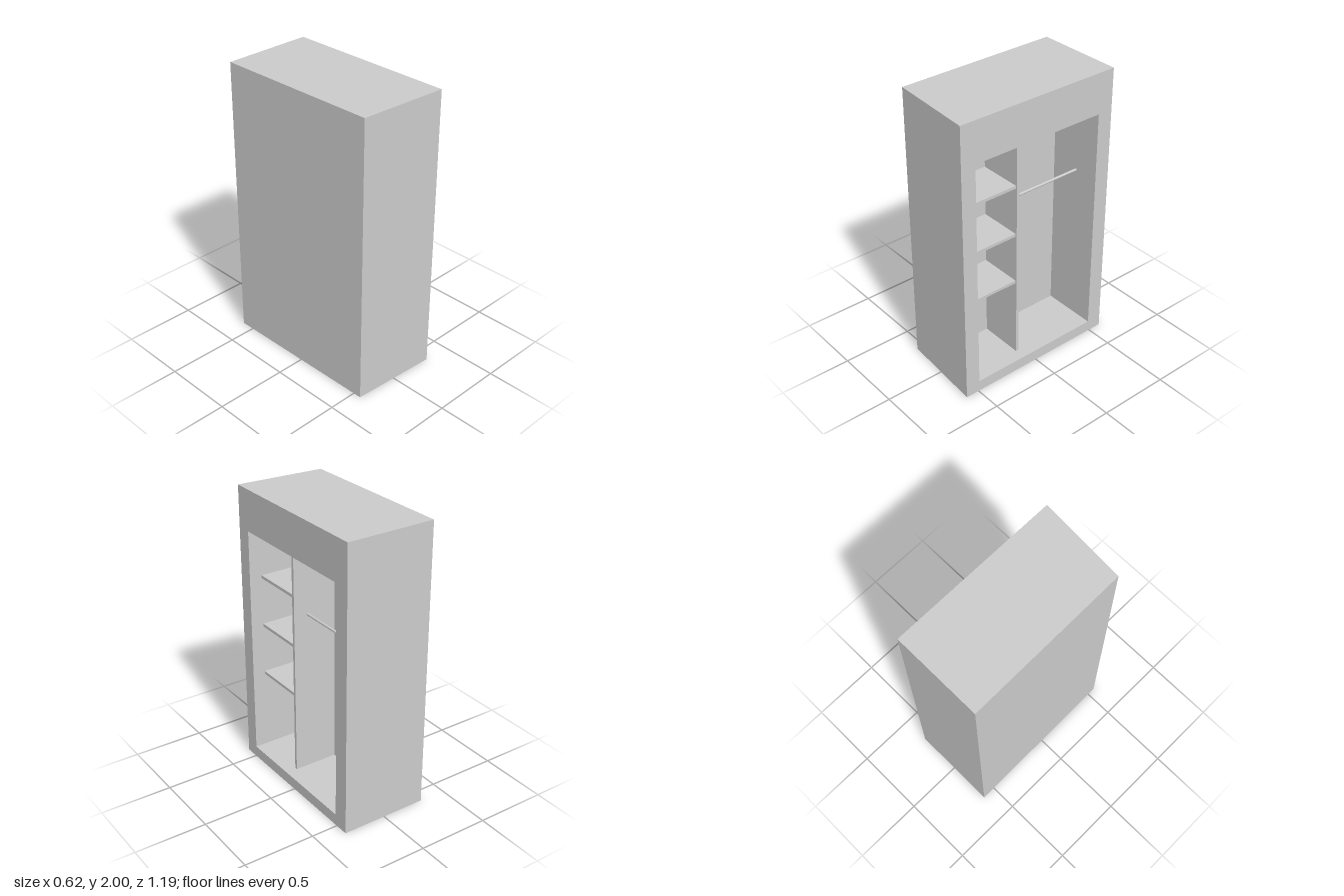
import * as THREE from 'three';

const FRONT = 0.31, BACK = -0.085;          // opening plane and inner back panel (x)
const Z = 0.597, H = 2;                     // outer half width and height
const IN = { z0: -0.487, z1: 0.492, y0: 0.08, y1: 1.715 };
const DIV = { z0: 0.09, z1: 0.11 };         // upright divider

export function createModel() {
  const group = new THREE.Group();
  const material = new THREE.MeshStandardMaterial({ color: 0xcccccc });

  const add = (name, geometry) => {
    const mesh = new THREE.Mesh(geometry, material);
    mesh.name = name;
    group.add(mesh);
    return mesh;
  };
  // Box given by its limits on each axis
  const box = (x0, x1, y0, y1, z0, z1) =>
    new THREE.BoxGeometry(x1 - x0, y1 - y0, z1 - z0)
      .translate((x0 + x1) / 2, (y0 + y1) / 2, (z0 + z1) / 2);
  // Drop the +x face (the first six indices), optionally turning the box inside out
  const openBox = (geometry, inward) => {
    const index = Array.from(geometry.index.array).slice(6);
    geometry.setIndex(inward ? index.reverse() : index);
    geometry.clearGroups();
    const flat = geometry.toNonIndexed();
    flat.computeVertexNormals();
    return flat;
  };

  // Outer carcass, with the back corner on the +z side pulled in slightly
  const outer = box(-FRONT, FRONT, 0, H, -Z, Z);
  const p = outer.attributes.position;
  for (let i = 0; i < p.count; i++) {
    if (p.getX(i) < 0 && p.getZ(i) > 0) {
      p.setX(i, -0.299);
      p.setZ(i, 0.557);
    }
  }
  add('carcass', openBox(outer, false));

  // Recessed compartment
  add('interior', openBox(box(BACK, FRONT, IN.y0, IN.y1, IN.z0, IN.z1), true));

  // Face frame around the opening
  const rect = (Type, z0, z1, y0, y1) => new Type([
    new THREE.Vector2(-z1, y0), new THREE.Vector2(-z0, y0),
    new THREE.Vector2(-z0, y1), new THREE.Vector2(-z1, y1),
  ]);
  const frame = rect(THREE.Shape, -Z, Z, 0, H);
  frame.holes.push(rect(THREE.Path, IN.z0, IN.z1, IN.y0, IN.y1));
  add('faceFrame', new THREE.ShapeGeometry(frame).rotateY(Math.PI / 2).translate(FRONT, 0, 0));

  // Divider and shelves
  add('divider', box(BACK, 0.23, IN.y0, IN.y1, DIV.z0, DIV.z1));
  [0.645, 1.01, 1.365].forEach((y, i) =>
    add(`shelf${i + 1}`, box(BACK, 0.22, y, y + 0.021, DIV.z1, IN.z1)));

  // Hanging rail
  const length = DIV.z0 - IN.z0;
  add('hangingRail', new THREE.CylinderGeometry(0.009, 0.009, length, 16)
    .rotateX(Math.PI / 2).translate(0.125, 1.236, IN.z0 + length / 2));

  return group;
}
